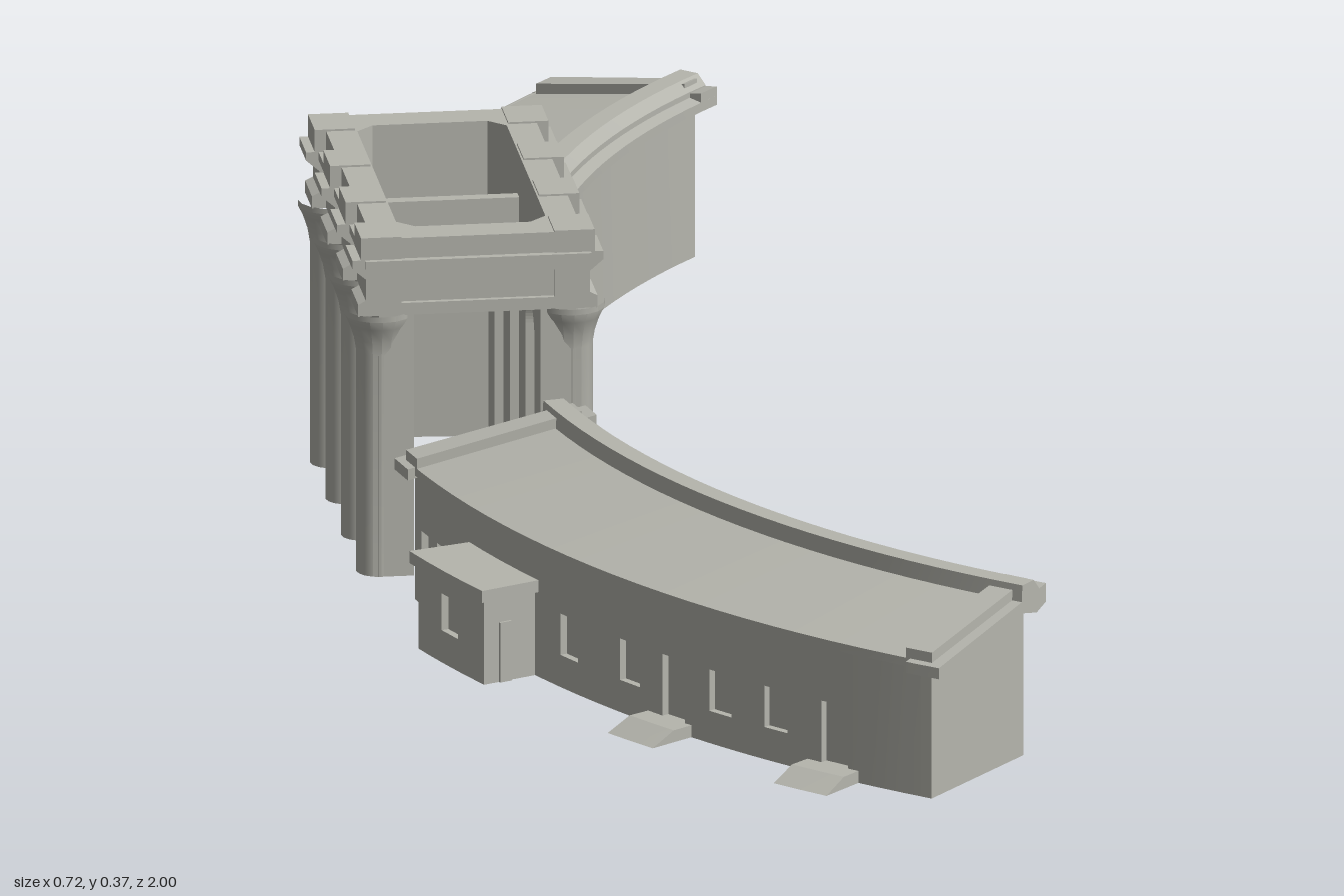
import * as THREE from 'three';
import { toCreasedNormals } from 'three/addons/utils/BufferGeometryUtils.js';

const stone = new THREE.MeshStandardMaterial({ color: 0xb5b5ad });
stone.name = 'grey stone';

function add(parent, name, geo) {
  const mesh = new THREE.Mesh(geo, stone);
  mesh.name = name;
  parent.add(mesh);
  return mesh;
}

// Sweep a closed profile of [radius, height] points round a centre, from angle a0 to a1
function sweep(arc, profile, a0, a1) {
  const pts = profile.map(([r, y]) => new THREE.Vector2(r, y));
  if (THREE.ShapeUtils.isClockWise(pts)) pts.reverse();
  const n = Math.max(1, Math.ceil((a1 - a0) / 0.03));
  const out = [];
  const put = (p, t) => {
    const a = a0 + (a1 - a0) * t / n;
    out.push(arc.cx - p.x * Math.cos(a), p.y, arc.cz + arc.dir * p.x * Math.sin(a));
  };
  const tri = (...corners) => {
    if (arc.dir > 0) corners.reverse();
    corners.forEach(([p, t]) => put(p, t));
  };
  for (let i = 0; i < n; i++) {
    pts.forEach((p, k) => {
      const q = pts[(k + 1) % pts.length];
      tri([p, i], [q, i], [q, i + 1]);
      tri([p, i], [q, i + 1], [p, i + 1]);
    });
  }
  for (const [a, b, c] of THREE.ShapeUtils.triangulateShape(pts, [])) {
    tri([pts[a], n], [pts[b], n], [pts[c], n]);
    tri([pts[c], 0], [pts[b], 0], [pts[a], 0]);
  }
  const geo = new THREE.BufferGeometry();
  geo.setAttribute('position', new THREE.Float32BufferAttribute(out, 3));
  return toCreasedNormals(geo, 0.3);
}

const rect = (r0, r1, y0, y1) => [[r0, y0], [r1, y0], [r1, y1], [r0, y1]];

// Curved wall with recessed openings, each [angle, angular width, bottom, top], in angle order
function piercedWall(group, arc, a0, a1, r, top, openings) {
  const T = 0.012;
  let a = a0;
  for (const [mid, w, y0, y1] of openings) {
    const l = mid - w / 2, h = mid + w / 2;
    add(group, 'outerWall', sweep(arc, rect(r - T, r, 0, top), a, l));
    if (y0 > 0) add(group, 'sill', sweep(arc, rect(r - T, r, 0, y0), l, h));
    add(group, 'wallOverOpening', sweep(arc, rect(r - T, r, y1, top), l, h));
    add(group, y0 > 0.02 ? 'windowPanel' : 'doorPanel', sweep(arc, rect(r - T, r - T + 0.004, y0, y1), l, h));
    a = h;
  }
  add(group, 'outerWall', sweep(arc, rect(r - T, r, 0, top), a, a1));
}

// Curved wing: inner wall with cornice, lean-to roof, end walls with sloping parapets
function wing(name, arc, a0, a1, rIn, rOut) {
  const g = new THREE.Group();
  g.name = name;
  const roofY = r => 0.182 - 0.03 * (r - rIn) / (rOut - rIn);
  const slab = (r0, r1, d0, d1) => [
    [r0, roofY(r0) + d0], [r1, roofY(r1) + d0], [r1, roofY(r1) + d1], [r0, roofY(r0) + d1]];
  const e = 0.014, b0 = a0 + e, b1 = a1 - e;

  add(g, 'innerWall', sweep(arc, rect(rIn, rIn + 0.012, 0, 0.17), b0, b1));
  add(g, 'innerCornice', sweep(arc, [
    [rIn + 0.03, 0.165], [rIn, 0.158], [rIn - 0.018, 0.165], [rIn - 0.018, 0.175], [rIn - 0.004, 0.178],
    [rIn - 0.004, 0.184], [rIn + 0.006, 0.195], [rIn + 0.028, 0.195]], a0, a1));
  add(g, 'roof', sweep(arc, slab(rIn + 0.01, rOut + 0.008, -0.009, 0), b0, b1));
  for (const [edge, s] of [[a0, 1], [a1, -1]]) {
    const span = (u, v) => [edge + s * u, edge + s * v].sort((p, q) => p - q);
    add(g, 'endWall', sweep(arc, [[rIn, 0], [rOut, 0], [rOut, roofY(rOut)], [rIn, roofY(rIn)]], ...span(e, e + 0.01)));
    add(g, 'endCornice', sweep(arc, slab(rIn - 0.018, rOut + 0.016, -0.012, 0), ...span(0, 0.03)));
    add(g, 'endParapet', sweep(arc, slab(rIn, rOut + 0.008, -0.002, 0.011), ...span(0.01, 0.034)));
  }
  return g;
}

function southWing() {
  const arc = { cx: 1.037, cz: 0.138, dir: 1 }, r = 1.342;
  const g = wing('frontWing', arc, 0.005, 0.686, 1.167, r);
  const win = a => [a, 0.024, 0.035, 0.08];
  const door = a => [a, 0.026, 0.013, 0.08];
  piercedWall(g, arc, 0.019, 0.672, r, 0.15, [
    win(0.045), win(0.078), win(0.11), win(0.28), win(0.358),
    door(0.41), win(0.462), win(0.521), door(0.58)]);
  // Ramps at the doors
  for (const a of [0.405, 0.578]) {
    add(g, 'doorRamp', sweep(arc, [[r - 0.005, 0], [r + 0.055, 0], [r + 0.025, 0.013], [r - 0.005, 0.013]], a - 0.025, a + 0.025));
  }
  // Small annex with a flat cap
  const annex = new THREE.Group();
  annex.name = 'annex';
  piercedWall(annex, arc, 0.132, 0.232, 1.404, 0.093, [[0.182, 0.025, 0.035, 0.075]]);
  for (const a of [0.132, 0.225]) {
    add(annex, 'annexSide', sweep(arc, rect(r - 0.005, 1.394, 0, 0.093), a, a + 0.007));
  }
  add(annex, 'annexDoor', sweep(arc, rect(1.372, 1.386, 0, 0.065), 0.232, 0.234));
  add(annex, 'annexCap', sweep(arc, rect(r - 0.005, 1.411, 0.092, 0.105), 0.127, 0.237));
  g.add(annex);
  return g;
}

function northWing() {
  const arc = { cx: 0.937, cz: -0.058, dir: -1 }, r = 1.16, step = 0.69;
  const g = wing('backWing', arc, 0.259, 0.933, 0.985, r);
  piercedWall(g, arc, 0.273, step, r, 0.15, [
    [0.296, 0.026, 0, 0.08], [0.356, 0.03, 0.045, 0.09],
    [0.531, 0.03, 0.084, 0.096], [0.606, 0.03, 0.084, 0.096], [0.668, 0.022, 0, 0.065]]);
  // Thicker bay at the far end
  piercedWall(g, arc, step, 0.919, r + 0.012, 0.15, [
    [0.793, 0.035, 0, 0.085], [0.867, 0.04, 0.04, 0.09]]);
  add(g, 'bayReturn', sweep(arc, rect(r - 0.012, r + 0.012, 0, 0.15), step, step + 0.008));
  add(g, 'bayRoof', sweep(arc, [[r, 0.14], [r + 0.016, 0.14], [r + 0.016, 0.149], [r, 0.152]], step, 0.919));
  return g;
}

function gateway() {
  const g = new THREE.Group();
  g.name = 'gateway';
  const stops = [-0.185, -0.062, 0.062, 0.185], half = 0.025, spring = 0.231;

  // Long arcade wall with three arches
  const wall = new THREE.Shape();
  wall.moveTo(-0.208, 0);
  for (let i = 0; i < 3; i++) {
    const l = stops[i] + half, r = stops[i + 1] - half;
    wall.lineTo(l, 0);
    wall.lineTo(l, spring);
    wall.absarc((l + r) / 2, spring, (r - l) / 2, Math.PI, 0, true);
    wall.lineTo(r, 0);
  }
  wall.lineTo(0.208, 0);
  wall.lineTo(0.208, 0.286);
  wall.lineTo(-0.208, 0.286);
  const column = [[0.0235, 0], [0.0235, 0.24], [0.026, 0.255], [0.031, 0.27], [0.036, 0.28], [0.036, 0.286]]
    .map(p => new THREE.Vector2(...p));
  // Entablature block that breaks forward over each column
  const block = new THREE.Shape([
    [0.08, 0.285], [0.125, 0.285], [0.125, 0.298], [0.117, 0.302], [0.117, 0.325],
    [0.131, 0.337], [0.131, 0.346], [0.122, 0.346], [0.122, 0.37], [0.08, 0.37]].map(p => new THREE.Vector2(...p)));

  for (const side of [1, -1]) {
    const half = new THREE.Group();
    half.name = 'arcade';
    half.rotation.y = side > 0 ? 0 : Math.PI;
    add(half, 'archWall', new THREE.ExtrudeGeometry(wall, { depth: 0.037, bevelEnabled: false, curveSegments: 16 })
      .rotateY(Math.PI / 2)).position.x = 0.066;
    for (const v of stops) {
      const shaft = toCreasedNormals(new THREE.LatheGeometry(column, 16), 0.5);
      add(half, 'column', shaft).position.set(0.1, 0, v);
      add(half, 'entablatureBlock', new THREE.ExtrudeGeometry(block, { depth: 0.054, bevelEnabled: false }))
        .position.z = v - 0.027;
    }
    g.add(half);
  }

  // Stacked open rings with chamfered inner corners
  const ring = (name, u, v, y0, y1) => {
    const s = new THREE.Shape([[-u, -v], [u, -v], [u, v], [-u, v]].map(p => new THREE.Vector2(...p)));
    const a = 0.078, b = 0.172, c = 0.018;
    s.holes.push(new THREE.Path([[-a, -b + c], [-a, b - c], [-a + c, b], [a - c, b], [a, b - c], [a, -b + c],
      [a - c, -b], [-a + c, -b]].map(p => new THREE.Vector2(...p))));
    add(g, name, new THREE.ExtrudeGeometry(s, { depth: y1 - y0, bevelEnabled: false }).rotateX(-Math.PI / 2)).position.y = y0;
  };
  ring('architrave', 0.11, 0.212, 0.285, 0.298);
  ring('frieze', 0.105, 0.206, 0.298, 0.328);
  ring('bedMould', 0.112, 0.212, 0.328, 0.337);
  ring('cornice', 0.118, 0.218, 0.337, 0.346);
  ring('attic', 0.11, 0.21, 0.346, 0.368);

  // Cross beams between the inner columns
  for (const v of [stops[1], stops[2]]) {
    add(g, 'crossBeam', new THREE.BoxGeometry(0.16, 0.035, 0.014)).position.set(0, 0.304, v);
  }
  g.position.set(-0.175, 0, -0.104);
  g.rotation.y = -0.195;
  return g;
}

export function createModel() {
  const model = new THREE.Group();
  model.name = 'curvedColonnade';
  model.add(southWing(), northWing(), gateway());
  return model;
}
